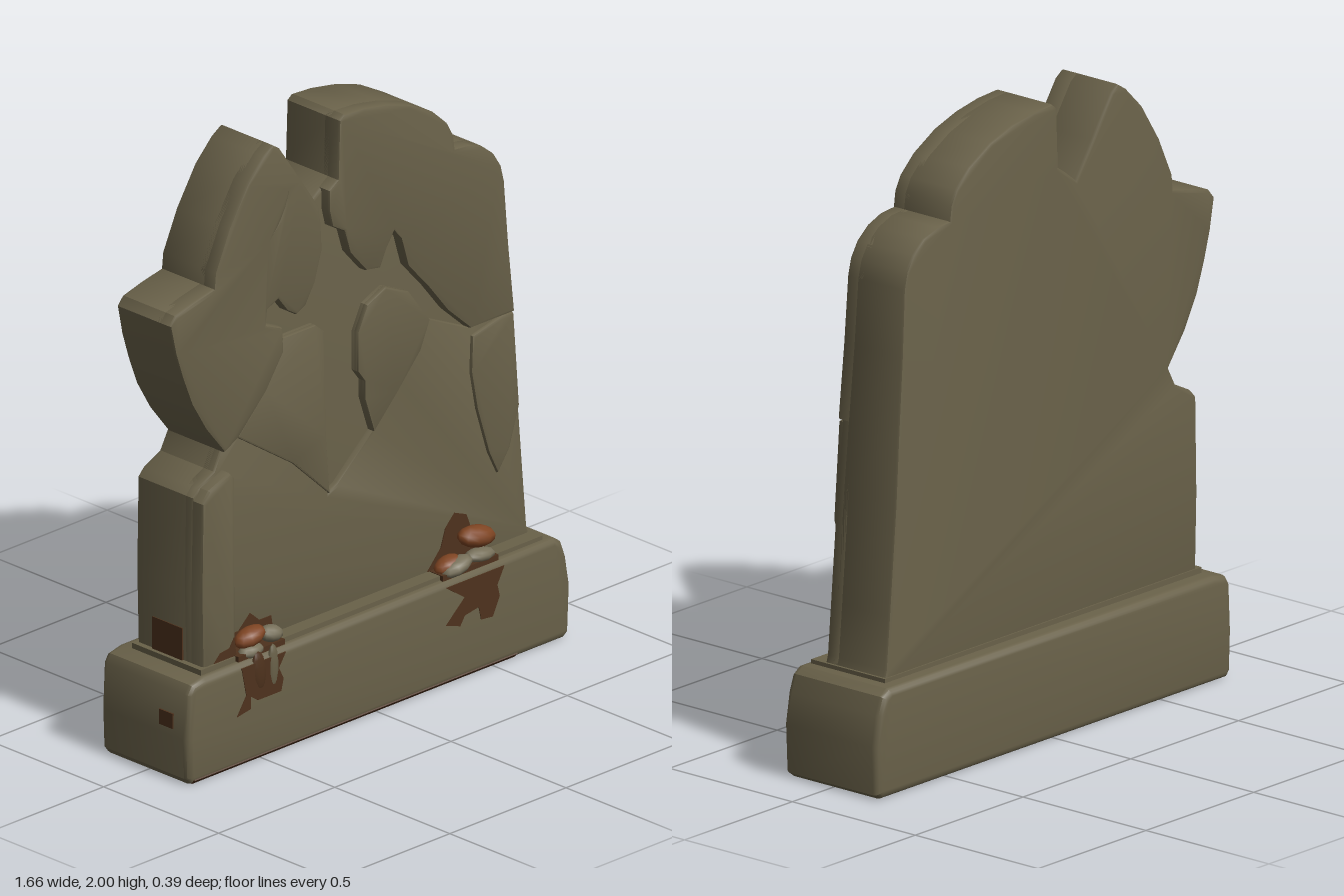
import * as THREE from 'three';
import { toCreasedNormals } from 'three/addons/utils/BufferGeometryUtils.js';

const mat = (name, color) => {
  const m = new THREE.MeshStandardMaterial({ color });
  m.name = name;
  return m;
};

export function createModel() {
  const root = new THREE.Group();
  root.name = 'brokenHeadstone';
  const stone = mat('mossyStone', 0x696149);
  const pebble = mat('paleStone', 0x77705a);
  const rust = mat('orangeRust', 0x7f4523);
  const stain = mat('darkRust', 0x4e321d);

  const add = (name, geo, material, parent = root) => {
    const mesh = new THREE.Mesh(geo, material);
    mesh.name = name;
    parent.add(mesh);
    return mesh;
  };

  // Extruded outline between z0 and z1 with an inward bevel
  const slab = (pts, z0, z1, b = 0.01, holes = [], segs = 2) => {
    const shape = new THREE.Shape(pts.map(p => new THREE.Vector2(...p)));
    for (const h of holes) shape.holes.push(new THREE.Path(h.map(p => new THREE.Vector2(...p))));
    const geo = new THREE.ExtrudeGeometry(shape, {
      depth: z1 - z0 - 2 * b, bevelEnabled: b > 0, bevelSize: b, bevelThickness: b,
      bevelOffset: -b, bevelSegments: segs,
    });
    geo.translate(0, 0, z0 + b);
    return geo;
  };
  const smooth = geo => toCreasedNormals(geo, 0.6);

  // Outer silhouette, clockwise from the lower left
  const leftLow = [[-0.72, 0.33], [-0.727, 0.6], [-0.722, 0.91], [-0.70, 0.935], [-0.63, 0.97], [-0.60, 1.03]];
  const leftLobe = [
    [-0.68, 1.13], [-0.74, 1.23], [-0.78, 1.33], [-0.81, 1.42], [-0.833, 1.52], [-0.81, 1.548],
    [-0.73, 1.57], [-0.645, 1.588], [-0.64, 1.64], [-0.58, 1.77], [-0.50, 1.895], [-0.43, 1.965],
    [-0.39, 1.99], [-0.36, 1.97], [-0.27, 1.84], [-0.195, 1.73],
  ];
  const rightTop = [
    [-0.15, 1.765], [-0.112, 1.79], [-0.105, 1.985], [-0.085, 2.0], [0.0, 1.995], [0.1, 1.977],
    [0.2, 1.945], [0.3, 1.89], [0.36, 1.835], [0.385, 1.79], [0.392, 1.74], [0.45, 1.735],
    [0.51, 1.712], [0.56, 1.672], [0.59, 1.625], [0.604, 1.57], [0.622, 1.36], [0.648, 1.12],
  ];
  const rightLow = [[0.67, 0.9], [0.70, 0.55], [0.715, 0.38], [0.73, 0.33]];

  // Main slab: the back leans inward toward the top
  const core = slab([...leftLow, ...leftLobe, ...rightTop, ...rightLow], -0.135, 0.088);
  const pos = core.attributes.position;
  for (let i = 0; i < pos.count; i++) {
    if (pos.getZ(i) < 0) {
      const t = THREE.MathUtils.clamp((pos.getY(i) - 0.9) / 0.7, 0, 1);
      pos.setZ(i, pos.getZ(i) + 0.025 * t);
    }
  }
  add('slabCore', smooth(core), stone);

  // Front layers leave a cross-shaped recess between them
  const crack = [[-0.32, 1.84], [-0.335, 1.77], [-0.37, 1.71], [-0.425, 1.665], [-0.36, 1.735], [-0.335, 1.79]];
  add('upperLeftFragment', smooth(slab([
    [-0.60, 1.03], ...leftLobe,
    [-0.185, 1.67], [-0.18, 1.58], [-0.21, 1.48], [-0.25, 1.415], [-0.29, 1.395], [-0.33, 1.42], [-0.37, 1.47],
    [-0.415, 1.45], [-0.42, 1.40], [-0.35, 1.37], [-0.345, 1.29], [-0.42, 1.18], [-0.54, 1.06],
  ], 0.05, 0.125, 0.01, [crack])), stone);
  add('upperRightFragment', smooth(slab([
    ...rightTop, [0.46, 1.12], [0.36, 1.21], [0.28, 1.31], [0.19, 1.41], [0.16, 1.51], [0.13, 1.545],
    [0.10, 1.50], [0.07, 1.44], [0.01, 1.45], [-0.06, 1.53], [-0.085, 1.61], [-0.135, 1.64], [-0.15, 1.70],
  ], 0.05, 0.125)), stone);
  const leftArm = [[-0.34, 1.33], [-0.2, 1.33], [-0.165, 1.30], [-0.155, 0.95], [-0.14, 0.75]];
  const rightArm = [
    [0.05, 0.90], [0.01, 1.02], [0.01, 1.08], [-0.02, 1.12], [-0.02, 1.25], [0.02, 1.33], [0.10, 1.365],
    [0.2, 1.32], [0.29, 1.2],
  ];
  add('lowerFace', smooth(slab([
    ...leftLow, [-0.54, 1.06], [-0.42, 1.18], [-0.35, 1.28], ...leftArm, [-0.10, 0.77],
    ...rightArm, [0.46, 1.12], [0.648, 1.12], ...rightLow,
  ], 0.05, 0.11)), stone);
  add('leftPanel', smooth(slab([[-0.54, 1.06], [-0.42, 1.18], ...leftArm, [-0.30, 0.90]], 0.09, 0.116, 0.006)), stone);
  add('rightPanel', smooth(slab([...rightArm, [0.25, 1.11], [0.15, 1.0]], 0.09, 0.118, 0.006)), stone);

  // Raised edge pieces
  add('leftEdgeStrip', smooth(slab([
    [-0.72, 0.33], [-0.725, 0.6], [-0.72, 0.90], [-0.69, 0.935], [-0.60, 0.968], [-0.583, 0.95], [-0.58, 0.33],
  ], 0.05, 0.152, 0.012)), stone);
  add('rightEdgeChip', smooth(slab([
    [0.47, 1.09], [0.60, 1.12], [0.648, 1.115], [0.672, 0.80], [0.63, 0.67], [0.58, 0.60], [0.54, 0.68],
    [0.49, 0.84], [0.465, 0.97],
  ], 0.05, 0.122)), stone);

  // Plinth with rounded edges and a low step
  add('plinth', smooth(slab([
    [-0.80, 0], [0.805, 0], [0.825, 0.015], [0.832, 0.17], [0.815, 0.27], [0.795, 0.325], [0.765, 0.345],
    [-0.74, 0.34], [-0.795, 0.328], [-0.813, 0.30], [-0.82, 0.15], [-0.815, 0.02],
  ], -0.197, 0.185, 0.022, [], 3)), stone);
  const step = new THREE.BoxGeometry(1.47, 0.03, 0.3);
  step.translate(-0.005, 0.343, 0.01);
  add('plinthStep', step, stone);
  const edge = add('plinthRustEdge', new THREE.BoxGeometry(1.39, 0.02, 0.004), stain);
  edge.position.set(-0.1, 0.009, 0.181);
  edge.rotation.x = Math.PI / 4;

  // Rust stains: thin plates on the vertical faces
  const stains = [
    ['leftWallStain', 0.111, [[-0.58, 0.355], [-0.57, 0.41], [-0.53, 0.41], [-0.48, 0.455], [-0.44, 0.42], [-0.39, 0.42], [-0.38, 0.355]]],
    ['leftStripStain', 0.152, [[-0.68, 0.355], [-0.65, 0.385], [-0.61, 0.39], [-0.59, 0.42], [-0.58, 0.355]]],
    ['leftPlinthStain', 0.185, [[-0.59, 0.325], [-0.40, 0.325], [-0.43, 0.28], [-0.41, 0.24], [-0.42, 0.20], [-0.52, 0.20], [-0.55, 0.22], [-0.55, 0.18], [-0.61, 0.17], [-0.57, 0.23]]],
    ['rightWallStain', 0.111, [[0.28, 0.355], [0.34, 0.42], [0.36, 0.48], [0.40, 0.52], [0.45, 0.50], [0.47, 0.45], [0.53, 0.42], [0.53, 0.355]]],
    ['rightPlinthStain', 0.185, [[0.29, 0.325], [0.54, 0.325], [0.51, 0.27], [0.52, 0.23], [0.49, 0.17], [0.44, 0.175], [0.43, 0.22], [0.37, 0.21], [0.35, 0.18], [0.29, 0.20], [0.37, 0.27]]],
  ];
  for (const [name, z, pts] of stains) add(name, slab(pts, z - 0.002, z + 0.002, 0), stain);
  const boxes = [
    ['leftLedgeStain', -0.49, 0.351, 0.137, 0.2, 0.018, 0.07],
    ['rightLedgeStain', 0.41, 0.351, 0.137, 0.24, 0.018, 0.07],
    ['slabSideStain', -0.723, 0.41, 0.0, 0.008, 0.11, 0.13],
    ['plinthSideStain', -0.819, 0.20, 0.09, 0.006, 0.05, 0.06],
  ];
  for (const [name, x, y, z, w, h, d] of boxes) {
    add(name, new THREE.BoxGeometry(w, h, d), stain).position.set(x, y, z);
  }

  // Rubble and rusty lumps resting on the ledge
  const lump = new THREE.SphereGeometry(1, 10, 7);
  const lumps = [
    ['leftRustLump', rust, -0.51, 0.395, 0.14, 0.06, 0.03, 0.037, 0.2],
    ['leftPebble', pebble, -0.43, 0.385, 0.15, 0.045, 0.027, 0.033, -0.2],
    ['leftLowPebble', pebble, -0.52, 0.355, 0.155, 0.05, 0.022, 0.028, 0],
    ['leftDrip', stain, -0.51, 0.29, 0.18, 0.03, 0.07, 0.012, 0.1],
    ['leftSmallDrip', stone, -0.45, 0.29, 0.18, 0.022, 0.075, 0.012, 0],
    ['rightRustCap', rust, 0.46, 0.435, 0.145, 0.075, 0.035, 0.042, -0.2],
    ['rightRustStem', rust, 0.34, 0.375, 0.14, 0.05, 0.025, 0.035, 0.3],
    ['rightPebble', pebble, 0.36, 0.37, 0.16, 0.062, 0.025, 0.037, 0.25],
    ['rightSmallPebble', pebble, 0.47, 0.372, 0.15, 0.06, 0.022, 0.032, -0.1],
  ];
  for (const [name, m, x, y, z, sx, sy, sz, r] of lumps) {
    const mesh = add(name, lump, m);
    mesh.position.set(x, y, z);
    mesh.scale.set(sx, sy, sz);
    mesh.rotation.z = r;
  }
  return root;
}
